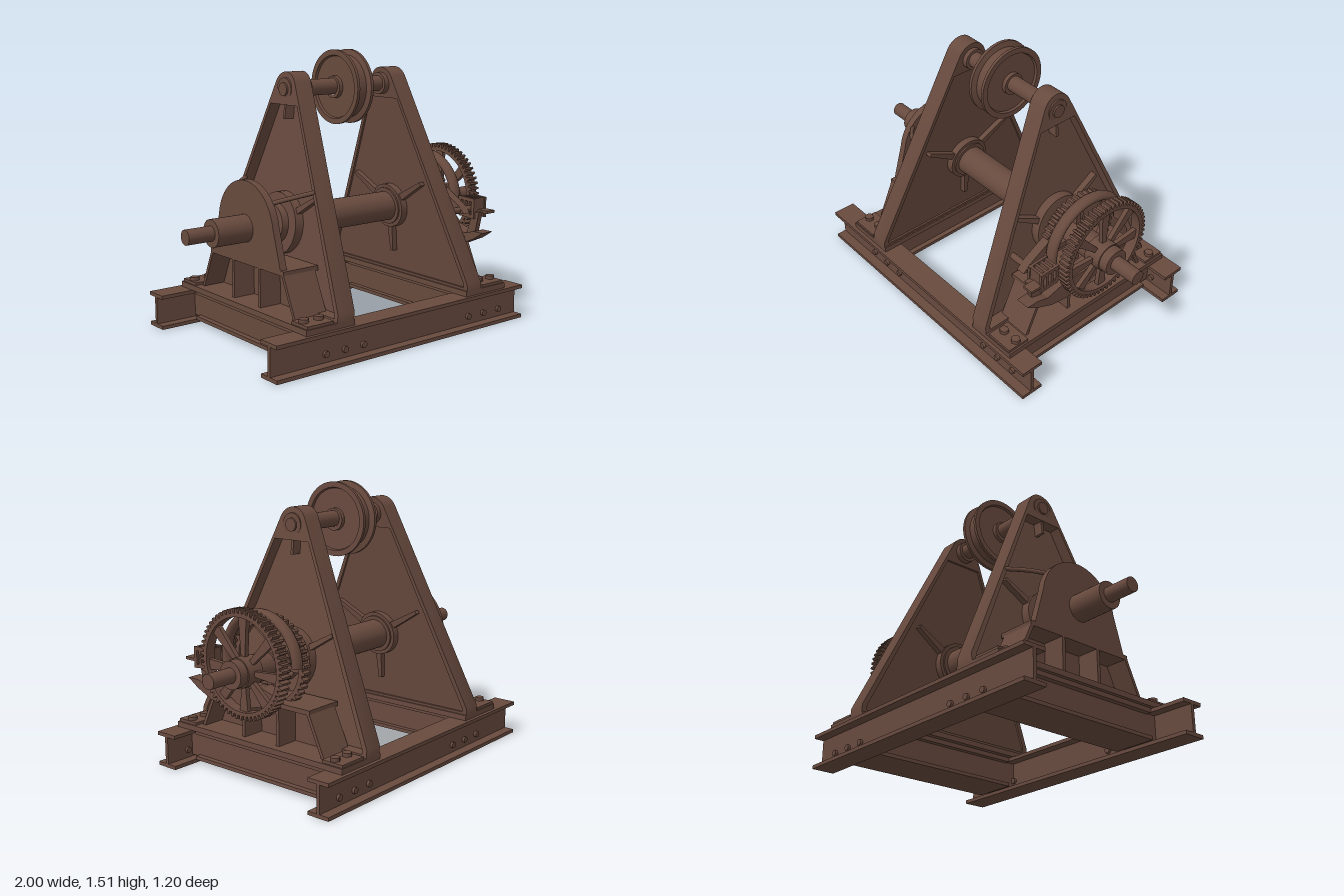
import * as THREE from 'three';
import { toCreasedNormals } from 'three/addons/utils/BufferGeometryUtils.js';

const iron = new THREE.MeshStandardMaterial({ color: 0x684a3e });
iron.name = 'brown iron';
const AXLE = 0.615, TOP = 1.315, RIM = 0.652;

function add(parent, name, geo, x = 0, y = 0, z = 0) {
  const m = new THREE.Mesh(geo, iron);
  m.name = name;
  m.position.set(x, y, z);
  parent.add(m);
  return m;
}
// box given by its limits
function box(x0, x1, y0, y1, z0, z1) {
  return new THREE.BoxGeometry(x1 - x0, y1 - y0, z1 - z0)
    .translate((x0 + x1) / 2, (y0 + y1) / 2, (z0 + z1) / 2);
}
// round bar along x
function rod(x0, x1, r, y, z = 0, sides = 32) {
  return new THREE.CylinderGeometry(r, r, x1 - x0, sides).rotateZ(Math.PI / 2)
    .translate((x0 + x1) / 2, y, z);
}
// outline of [z, y] points, extruded along x; a hole runs the same way round as its outline
const outline = pts => pts.map(([z, y]) => new THREE.Vector2(-z, y));
function slab(x0, x1, pts, hole) {
  const s = new THREE.Shape(outline(pts));
  if (hole) s.holes.push(new THREE.Path(outline(hole).reverse()));
  const g = new THREE.ExtrudeGeometry(s, { depth: x1 - x0, bevelEnabled: false });
  return toCreasedNormals(g.rotateY(Math.PI / 2).translate(x0, 0, 0), 0.5);
}
function arc(r, cy, a0, a1, n) {
  return Array.from({ length: n + 1 }, (_, i) => {
    const a = a0 + (a1 - a0) * i / n;
    return [r * Math.cos(a), cy + r * Math.sin(a)];
  });
}
const circle = (r, cy, n = 64) => arc(r, cy, 0, Math.PI * 2 * (n - 1) / n, n - 1);
function teeth(n, root, tip, cy) {
  const pts = [];
  for (let i = 0; i < n; i++)
    [[0, root], [0.35, root], [0.5, tip], [0.85, tip]].forEach(([f, r]) => {
      const a = (i + f) / n * Math.PI * 2;
      pts.push([r * Math.cos(a), cy + r * Math.sin(a)]);
    });
  return pts;
}
// tapered arm radiating from the axle
function arm(x0, x1, r0, r1, w0, w1, a) {
  const c = Math.cos(a), s = Math.sin(a);
  return slab(x0, x1, [[r0, -w0], [r1, -w1], [r1, w1], [r0, w0]]
    .map(([r, w]) => [r * c - w * s, AXLE + r * s + w * c]));
}
// distance from the axle to a rim that sits slightly above it
function reach(r, a) {
  const d = RIM - AXLE;
  return d * Math.sin(a) + Math.sqrt(r * r - (d * Math.cos(a)) ** 2);
}
// lean of the A-frames
function lean(g) {
  const p = g.attributes.position;
  for (let i = 0; i < p.count; i++) p.setX(i, p.getX(i) + 0.4 - 0.107 * (p.getY(i) - 0.2));
  g.computeVertexNormals();
  return toCreasedNormals(g, 0.5);
}

// one side: cross beam, sole plate, leaning A-frame, bearing and bracket
function sideFrame() {
  const g = new THREE.Group();
  add(g, 'crossBeam', box(0.45, 0.64, 0.03, 0.17, -0.53, 0.53));
  add(g, 'crossBeamTop', box(0.42, 0.67, 0.165, 0.2, -0.465, 0.465));
  add(g, 'crossBeamFoot', box(0.42, 0.67, 0.02, 0.04, -0.465, 0.465));
  add(g, 'solePlate', box(0.39, 0.69, 0.19, 0.22, -0.58, 0.58));

  const edge = [[0.58, 0.21], [0.58, 0.26], ...arc(0.09, TOP, 0.425, Math.PI - 0.425, 16), [-0.58, 0.26], [-0.58, 0.21]];
  const opening = [[0.55, 0.235], [0.55, 0.26], [0.115, 1.235], [-0.115, 1.235], [-0.55, 0.26], [-0.55, 0.235]];
  add(g, 'frameFlange', lean(slab(0, 0.105, edge, opening)));
  add(g, 'frameWeb', lean(slab(0.012, 0.04, edge.map(([z, y]) => [z * 0.985, Math.min(y, 1.4)]))));
  add(g, 'topRib', lean(box(0.03, 0.095, 1.16, 1.24, -0.008, 0.008)));
  add(g, 'innerBearing', lean(rod(-0.03, 0.03, 0.125, AXLE)));
  add(g, 'outerBearing', lean(rod(0.03, 0.09, 0.165, AXLE)));
  add(g, 'bearingBoss', lean(rod(-0.04, 0.13, 0.105, AXLE)));
  [30, 150, 270].forEach(d => {
    const a = d * Math.PI / 180;
    add(g, 'innerArm', lean(arm(-0.02, 0.02, 0.1, d === 270 ? 0.27 : 0.32, 0.02, 0.01, a)));
    add(g, 'outerArm', lean(arm(0.03, 0.075, 0.12, d === 270 ? 0.2 : 0.33, 0.018, 0.01, a)));
  });

  // top shaft seat
  add(g, 'shaftCollar', rod(0.25, 0.3, 0.06, TOP));
  add(g, 'shaftBoss', rod(0.35, 0.39, 0.06, TOP));
  add(g, 'shaftNut', rod(0.38, 0.4, 0.035, TOP, 0, 16));

  // outer bracket with shelf and ribs
  add(g, 'bracketShelf', box(0.43, 0.645, 0.425, 0.45, -0.335, 0.335));
  const slope = [[0.43, 0.22], [0.33, 0.44], [-0.33, 0.44], [-0.43, 0.22]];
  add(g, 'bracketWall', slab(0.5, 0.52, slope));
  [-0.12, 0.12].forEach(z => add(g, 'bracketRib', box(0.46, 0.645, 0.22, 0.43, z - 0.01, z + 0.01)));
  [-1, 1].forEach(s => {
    const cheek = [[s * 0.43, 0.22], [s * 0.33, 0.44], [s * 0.31, 0.44], [s * 0.41, 0.22]];
    add(g, 'bracketCheek', slab(0.45, 0.645, cheek));
    // hold-down bolts
    add(g, 'boltPad', box(0.52, 0.68, 0.22, 0.235, s * 0.51 - 0.065, s * 0.51 + 0.065));
    [0.56, 0.65].forEach(x => add(g, 'soleBolt',
      new THREE.CylinderGeometry(0.026, 0.026, 0.025, 6), x, 0.242, s * 0.505));
  });
  return g;
}

function strut(parent, pts, r) {
  const c = new THREE.CatmullRomCurve3(pts.map(p => new THREE.Vector3(...p)));
  return add(parent, 'strut', new THREE.TubeGeometry(c, 12, r, 8));
}

export function createModel() {
  const model = new THREE.Group();
  model.name = 'winch';

  // long I-beams with bolts
  [-1, 1].forEach(s => {
    const beam = new THREE.Group();
    beam.name = s > 0 ? 'frontBeam' : 'backBeam';
    model.add(beam);
    const c = s * 0.535;
    [0, 0.17].forEach(y => add(beam, 'beamFlange', box(-0.88, 0.815, y, y + 0.02, c - 0.065, c + 0.065)));
    add(beam, 'beamWeb', box(-0.88, 0.815, 0.01, 0.18, c - 0.01, c + 0.01));
    [-0.55, -0.43, -0.31, 0.44, 0.555, 0.675].forEach(x => add(beam, 'beamBolt',
      new THREE.CylinderGeometry(0.017, 0.017, 0.05, 10).rotateX(Math.PI / 2), x, 0.065, c));
  });

  const left = sideFrame();
  left.name = 'leftFrame';
  const right = sideFrame();
  right.name = 'rightFrame';
  right.rotation.y = Math.PI;
  model.add(left, right);

  // main axle and upper shaft
  add(model, 'drum', rod(-0.46, 0.46, 0.083, AXLE));
  add(model, 'axle', rod(-0.85, 0.85, 0.073, AXLE));
  add(model, 'axleEnds', rod(-1, 1, 0.04, AXLE));
  add(model, 'topShaft', rod(-0.38, 0.38, 0.043, TOP));

  // grooved pulley
  const half = [[0.06, 0.065], [0.06, 0.042], [0.165, 0.042], [0.17, 0.055], [0.2, 0.055], [0.2, 0.038], [0.17, 0.03]];
  const profile = [...half, ...half.map(([r, x]) => [r, -x]).reverse()].reverse();
  const pulley = new THREE.LatheGeometry([[0.04, -0.065], ...profile, [0.04, 0.065]]
    .map(p => new THREE.Vector2(...p)), 48).rotateZ(-Math.PI / 2);
  add(model, 'pulley', toCreasedNormals(pulley, 0.5), -0.005, TOP - 0.005, 0);

  // arched guard on the far side with struts
  const arch = [[0.31, 0.44], ...arc(0.25, AXLE, 0.15, Math.PI - 0.15, 32), [-0.31, 0.44]];
  add(model, 'guardPlate', slab(-0.645, -0.605, arch));
  [-1, 1].forEach(s => strut(model, [[-0.61, 0.765, s * 0.18], [-0.54, 0.79, s * 0.24], [-0.43, 0.82, s * 0.31]], 0.012));

  // spur gear, its rim set a little above the axle
  const gear = new THREE.Group();
  gear.name = 'gear';
  model.add(gear);
  add(gear, 'gearRim', slab(0.72, 0.78, teeth(58, 0.263, 0.286, RIM), circle(0.243, RIM)));
  for (let i = 0; i < 8; i++) {
    const a = i * Math.PI / 4 + Math.PI / 2;
    add(gear, 'gearSpoke', arm(0.735, 0.76, 0.05, reach(0.248, a), 0.012, 0.028, a));
  }
  add(gear, 'gearHub', rod(0.7, 0.8, 0.08, AXLE));

  // ratchet wheel and brake band
  add(model, 'ratchetWheel', slab(0.535, 0.58, teeth(40, 0.232, 0.25, 0.63), circle(0.21, 0.63)));
  for (let i = 0; i < 4; i++)
    add(model, 'ratchetSpoke', arm(0.545, 0.57, 0.06, 0.22, 0.014, 0.014, i * Math.PI / 2));
  add(model, 'ratchetHub', rod(0.5, 0.6, 0.085, AXLE));
  add(model, 'brakeBand', new THREE.TorusGeometry(0.245, 0.024, 12, 48, Math.PI * 1.1)
    .rotateY(Math.PI / 2).scale(1.4, 1, 1), 0.628, RIM - 0.005, 0);

  // brake lever: curved shoe, link and open cage
  const lever = new THREE.Group();
  lever.name = 'brakeLever';
  model.add(lever);
  add(lever, 'brakeShoe', slab(0.62, 0.7, [[0.47, 0.49], [0.4, 0.49], [0.33, 0.47], [0.22, 0.5], [0.08, 0.5],
    [-0.06, 0.53], [-0.16, 0.5], [-0.1, 0.44], [0.08, 0.39], [0.2, 0.385], [0.3, 0.4], [0.4, 0.445]]));
  add(lever, 'leverLink', slab(0.63, 0.66, [[0.4, 0.47], [0.43, 0.6], [0.38, 0.6], [0.34, 0.47]]));
  [0.62, 0.705].forEach(x => add(lever, 'cageSide', slab(x, x + 0.015,
    [[0.4, 0.56], [0.4, 0.675], [0.28, 0.68], [0.28, 0.57]], [[0.38, 0.58], [0.38, 0.655], [0.3, 0.66], [0.3, 0.59]])));
  for (let i = 0; i < 4; i++)
    add(lever, 'cageBar', box(0.62, 0.72, 0.565, 0.675, 0.285 + i * 0.032, 0.3 + i * 0.032));
  add(lever, 'handle', box(0.66, 0.72, 0.595, 0.61, 0.38, 0.465));
  add(lever, 'pawl', slab(0.54, 0.59, [[0.22, 0.72], [0.36, 0.64], [0.4, 0.6], [0.33, 0.59], [0.24, 0.66]]));
  add(lever, 'pawlPin', rod(0.46, 0.66, 0.018, 0.615, 0.36, 12));
  return model;
}
